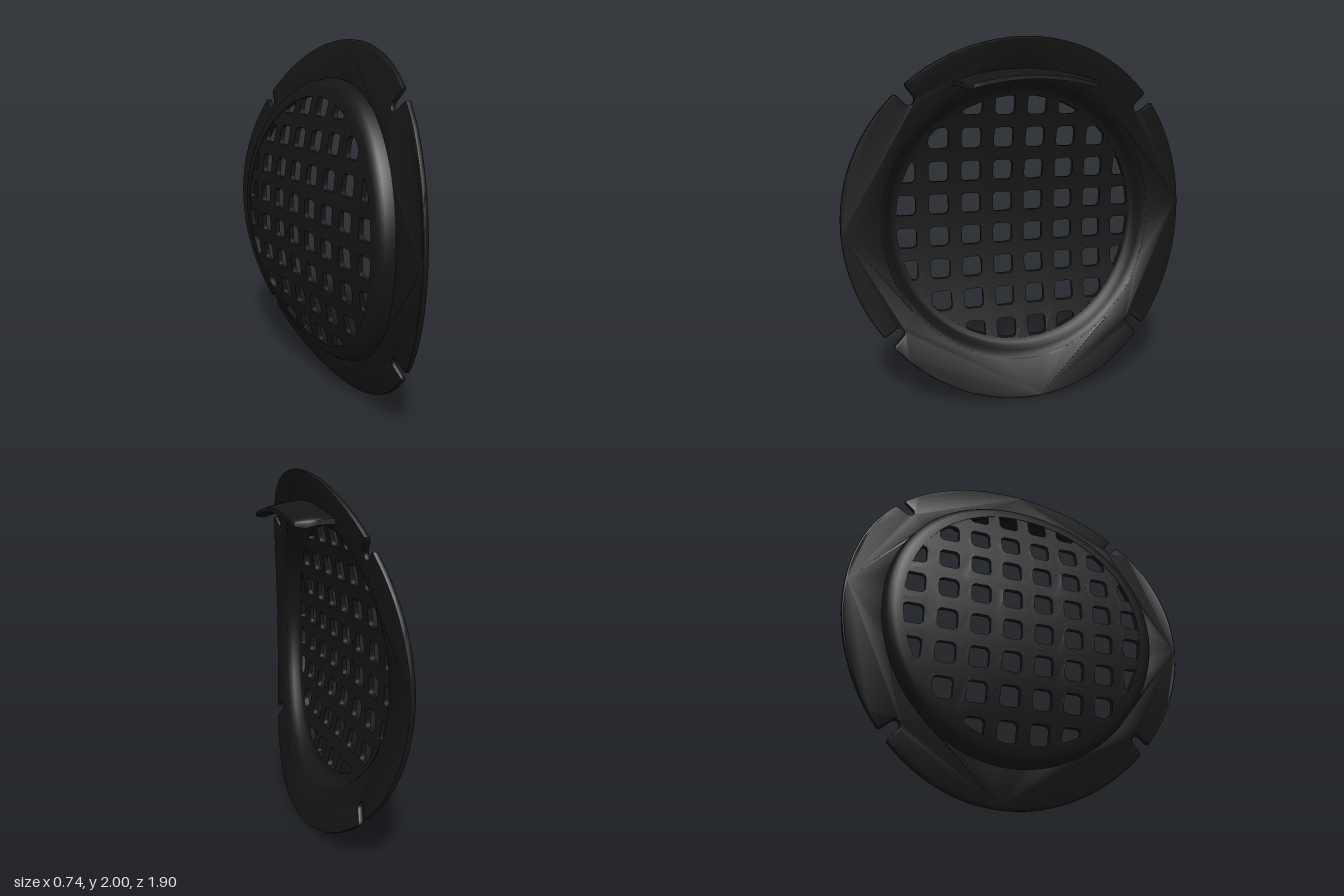
import * as THREE from 'three';
import { mergeGeometries, toCreasedNormals } from 'three/addons/utils/BufferGeometryUtils.js';

const BOW = 0.195; // how far the top and bottom bow outward
const V2 = (x, y) => new THREE.Vector2(x, y);

// Bend a flat part (x across, y up, z outward) into the bowed sheet
function bend(geo) {
  const p = geo.attributes.position;
  for (let i = 0; i < p.count; i++) p.setZ(i, p.getZ(i) + BOW * p.getY(i) ** 2);
  return toCreasedNormals(geo, 0.6);
}

function circlePoints(r, n) {
  return Array.from({ length: n }, (_, i) => V2(r * Math.cos(i / n * 2 * Math.PI), r * Math.sin(i / n * 2 * Math.PI)));
}

// Outer rim: flat ring with four round-ended slots cut in from the edge
function flangeGeometry() {
  const notches = [43, 133, 219, 316].map(d => THREE.MathUtils.degToRad(d));
  const half = 0.027, inner = 0.925, pts = [];
  notches.forEach((a, k) => {
    const dir = V2(Math.cos(a), Math.sin(a)), side = V2(-dir.y, dir.x);
    const at = (r, s) => pts.push(V2(dir.x * r + side.x * s, dir.y * r + side.y * s));
    at(0.985, -half - 0.004);
    for (let i = 0; i <= 8; i++) {
      const t = i / 8 * Math.PI;
      at(inner - half * Math.sin(t), -half * Math.cos(t));
    }
    at(0.985, half + 0.004);
    // arc to the next slot
    const end = k < 3 ? notches[k + 1] : notches[0] + 2 * Math.PI;
    for (let i = 0; i <= 32; i++) {
      const t = THREE.MathUtils.lerp(a + 0.04, end - 0.04, i / 32);
      pts.push(V2(Math.cos(t), Math.sin(t)));
    }
  });
  const shape = new THREE.Shape(pts);
  shape.holes.push(new THREE.Path(circlePoints(0.785, 96)));
  const geo = new THREE.ExtrudeGeometry(shape, {
    depth: 0.014, bevelEnabled: true, bevelThickness: 0.009, bevelSize: 0.01, bevelOffset: -0.01, bevelSegments: 2,
  });
  return bend(geo.translate(0, 0, -0.023));
}

// Recessed bowl wall between the rim and the grid
function bowlGeometry() {
  const profile = [[0.7, -0.108], [0.745, -0.108], [0.768, -0.1], [0.785, -0.08], [0.8, -0.02], [0.803, -0.004],
    [0.787, -0.003], [0.77, -0.014], [0.755, -0.035], [0.737, -0.066], [0.725, -0.074], [0.7, -0.076], [0.7, -0.108]];
  const geo = new THREE.LatheGeometry(profile.map(q => V2(...q)), 96);
  return bend(geo.rotateX(Math.PI / 2));
}

// Square mesh: one cell per opening, cut off by a circle
function gridGeometry() {
  const pitch = 0.184, n = 8, cells = [];
  const clamp = (pts, r) => pts.map(q => q.clone().clampLength(0, r));
  for (let i = 0; i < n; i++) for (let j = 0; j < n; j++) {
    const cx = (i - 3.5) * pitch, cy = (j - 3.5) * pitch + 0.008;
    const square = [], hole = [];
    for (let s = 0; s < 4; s++) {
      const c = Math.cos(s * Math.PI / 2), d = Math.sin(s * Math.PI / 2);
      const add = (list, x, y) => list.push(V2(cx + x * c - y * d, cy + x * d + y * c));
      for (let k = 0; k < 4; k++) add(square, pitch / 2, (k / 4 - 0.5) * pitch);
      // straight side, then rounded corner
      for (let k = 0; k < 3; k++) add(hole, 0.056, -0.03 + k * 0.02);
      for (let k = 0; k <= 4; k++) {
        const t = k / 4 * Math.PI / 2;
        add(hole, 0.03 + 0.026 * Math.cos(t), 0.03 + 0.026 * Math.sin(t));
      }
    }
    const outline = clamp(square, 0.73);
    if (Math.abs(THREE.ShapeUtils.area(outline)) < 0.0005) continue;
    const shape = new THREE.Shape(outline);
    const opening = clamp(hole, 0.7);
    if (Math.abs(THREE.ShapeUtils.area(opening)) > 0.0008) shape.holes.push(new THREE.Path(opening));
    cells.push(new THREE.ExtrudeGeometry(shape, { depth: 0.028, bevelEnabled: false }).translate(0, 0, -0.105));
  }
  return bend(mergeGeometries(cells));
}

// Arched lip standing out from the upper rim, with rounded outer corners
function visorGeometry() {
  const geo = new THREE.BoxGeometry(2, 0.026, 1, 32, 1, 8);
  const p = geo.attributes.position;
  for (let i = 0; i < p.count; i++) {
    const a = p.getX(i), s = p.getZ(i) + 0.5;
    const u = a * (0.41 - 0.045 * s);
    const v = 0.825 - 0.4 * u * u - 0.035 * s * s;
    const corner = Math.max(0, (Math.abs(a) - 0.86) / 0.14);
    const tip = 0.315 - 0.06 * (1 - Math.sqrt(1 - Math.min(1, corner) ** 2));
    const base = BOW * v * v - 0.02;
    p.setXYZ(i, u, v + p.getY(i) * (1.2 - 0.4 * s), base + (tip - base) * s);
  }
  return toCreasedNormals(geo, 0.6);
}

export function createModel() {
  const material = new THREE.MeshStandardMaterial({ color: 0x151515, side: THREE.DoubleSide });
  const cover = new THREE.Group();
  cover.name = 'ventCover';
  const parts = { flange: flangeGeometry(), bowl: bowlGeometry(), grid: gridGeometry(), visor: visorGeometry() };
  for (const [name, geo] of Object.entries(parts)) {
    const mesh = new THREE.Mesh(geo, material);
    mesh.name = name;
    cover.add(mesh);
  }
  // Turn the face mostly to the side and stand it on the ground
  cover.rotation.y = THREE.MathUtils.degToRad(71.6);
  cover.position.set(-0.025, 1, 0);
  const model = new THREE.Group();
  model.add(cover);
  return model;
}
